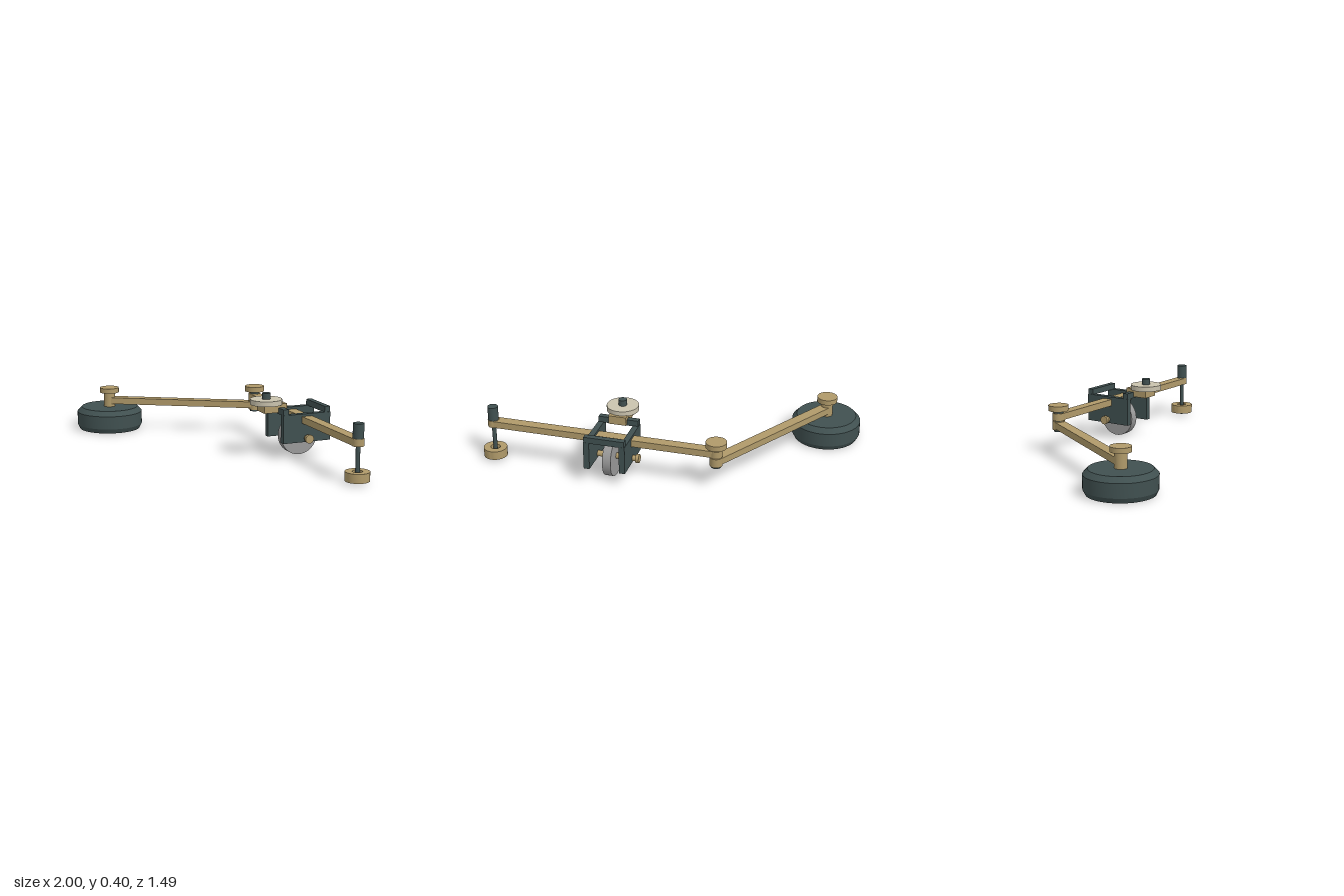
import * as THREE from 'three';
import { toCreasedNormals } from 'three/addons/utils/BufferGeometryUtils.js';

const mat = (name, color) => {
  const m = new THREE.MeshStandardMaterial({ color });
  m.name = name;
  return m;
};

export function createModel() {
  const dark = mat('dark enamel', 0x405050);
  const brass = mat('brass', 0xb09a6a);
  const cream = mat('cream', 0xcac3ae);
  const steel = mat('steel', 0x9a9a9a);

  const add = (parent, name, geo, material, x, y, z) => {
    const m = new THREE.Mesh(geo, material);
    m.name = name;
    m.position.set(x, y, z);
    parent.add(m);
    return m;
  };
  // box and upright cylinder given by their bottom and top heights
  const box = (p, name, material, w, d, y0, y1, x, z) =>
    add(p, name, new THREE.BoxGeometry(w, y1 - y0, d), material, x, (y0 + y1) / 2, z);
  const cyl = (p, name, material, r, y0, y1, x, z, seg = 32) =>
    add(p, name, new THREE.CylinderGeometry(r, r, y1 - y0, seg), material, x, (y0 + y1) / 2, z);
  const lathe = (p, name, material, pts, x, z) =>
    add(p, name, toCreasedNormals(new THREE.LatheGeometry(pts.map(a => new THREE.Vector2(...a)), 48), 0.35), material, x, 0, z);

  const model = new THREE.Group();
  model.name = 'planimeter';

  // Weighted base with its pivot
  const bx = -0.785, ex = 0.195, pz = -0.53;
  lathe(model, 'baseWeight', dark,
    [[0, 0], [0.2, 0], [0.215, 0.03], [0.215, 0.115], [0.186, 0.146], [0, 0.146]], bx, pz);
  cyl(model, 'basePost', brass, 0.037, 0.146, 0.242, bx, pz);
  cyl(model, 'baseCap', brass, 0.063, 0.24, 0.272, bx, pz);

  // Pole arm and elbow joint
  box(model, 'poleArm', brass, ex - bx, 0.066, 0.166, 0.208, (bx + ex) / 2, pz);
  cyl(model, 'poleArmBoss', brass, 0.038, 0.156, 0.212, ex, pz);
  cyl(model, 'elbowPin', dark, 0.03, 0.145, 0.28, ex, pz);
  cyl(model, 'elbowCap', brass, 0.063, 0.277, 0.311, ex, pz);

  // Tracer arm assembly: local +z runs from the elbow to the tracing point
  const arm = new THREE.Group();
  arm.name = 'tracerAssembly';
  arm.position.set(ex, 0, pz);
  arm.rotation.y = Math.atan2(0.73, 1.2);
  model.add(arm);
  const L = 1.405, cz = 0.642;
  box(arm, 'tracerArm', brass, 0.066, L, 0.218, 0.26, 0, L / 2);
  cyl(arm, 'tracerArmBoss', brass, 0.038, 0.216, 0.261, 0, 0);
  cyl(arm, 'tracerEndBoss', brass, 0.035, 0.217, 0.261, 0, L);

  // Tracing point: needle, grip and ring foot
  cyl(arm, 'tracerNeedle', dark, 0.013, 0, 0.25, 0, L, 16);
  cyl(arm, 'tracerGrip', dark, 0.032, 0.255, 0.348, 0, L, 24);
  lathe(arm, 'tracerFoot', brass,
    [[0.03, 0.014], [0.072, 0.014], [0.072, 0.069], [0.03, 0.069], [0.03, 0.014]], 0, L);

  // Carriage: two hanging plates joined by two top rails, with axle knobs
  for (const s of [-1, 1]) {
    box(arm, 'carriagePlate', dark, 0.316, 0.036, 0.1, 0.275, 0, cz + s * 0.11);
    box(arm, 'carriageRail', dark, 0.036, 0.25, 0.272, 0.31, s * 0.139, cz);
    const knob = cyl(arm, 'axleKnob', brass, 0.027, 0, 0.02, 0, cz + s * 0.16, 24);
    knob.position.y = 0.125;
    knob.rotation.x = Math.PI / 2;
  }
  const axle = add(arm, 'axle', new THREE.CylinderGeometry(0.018, 0.018, 0.33, 20), brass, 0, 0.125, cz);
  axle.rotation.x = Math.PI / 2;

  // Measuring wheel
  const wheel = add(arm, 'measuringWheel', new THREE.CylinderGeometry(0.121, 0.121, 0.052, 48), steel, 0, 0.121, cz);
  wheel.rotation.x = Math.PI / 2;

  // Counter dial on its bracket
  box(arm, 'dialBracket', brass, 0.15, 0.11, 0.28, 0.333, -0.175, cz);
  cyl(arm, 'counterDial', cream, 0.098, 0.328, 0.36, -0.215, cz, 40);
  cyl(arm, 'dialPin', dark, 0.026, 0.34, 0.397, -0.215, cz, 20);

  return model;
}
